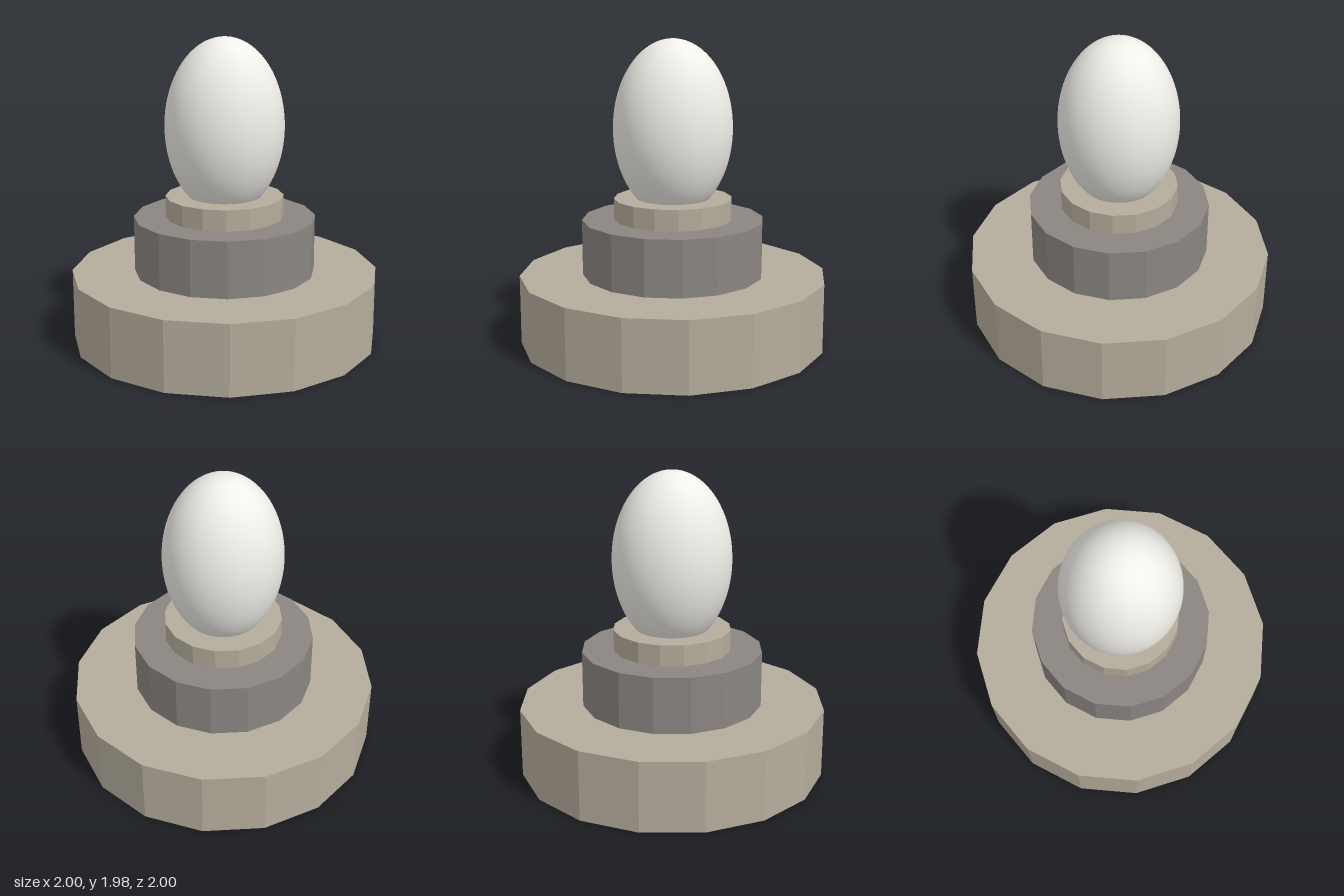
import * as THREE from 'three';

const SIDES = 16;

// Faceted disc standing between two heights
function tier(name, radius, bottom, top, color) {
  const height = top - bottom;
  const mesh = new THREE.Mesh(
    new THREE.CylinderGeometry(radius, radius, height, SIDES),
    new THREE.MeshStandardMaterial({ color, flatShading: true })
  );
  mesh.name = name;
  mesh.position.y = bottom + height / 2;
  return mesh;
}

export function createModel() {
  const model = new THREE.Group();
  model.name = 'eggOnPedestal';

  // Stepped pedestal
  model.add(
    tier('base', 1, 0, 0.455, 0xb5ac9c),
    tier('plinth', 0.59, 0.455, 0.82, 0x8b8682),
    tier('collar', 0.383, 0.82, 0.957, 0xb5ac9c)
  );

  // Smooth egg sunk into the collar
  const egg = new THREE.Mesh(
    new THREE.SphereGeometry(1, 64, 48),
    new THREE.MeshStandardMaterial({ color: 0xf0eee8 })
  );
  egg.name = 'egg';
  egg.scale.set(0.384, 0.572, 0.384);
  egg.position.y = 1.408;
  model.add(egg);

  return model;
}
